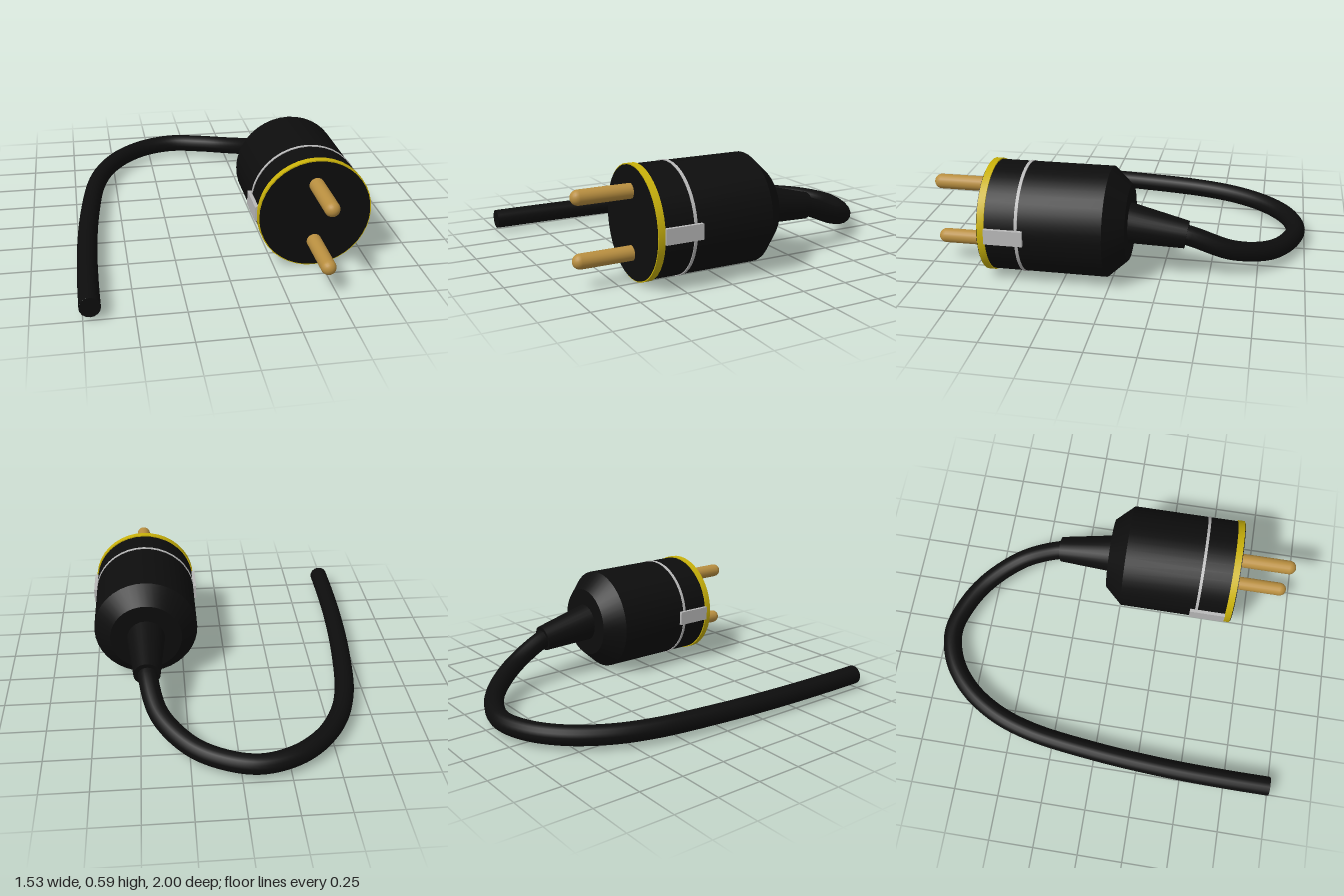
import * as THREE from 'three';
import { toCreasedNormals } from 'three/addons/utils/BufferGeometryUtils.js';

const mat = (name, color) => new THREE.MeshStandardMaterial({ name, color });

export function createModel() {
  const black = mat('blackRubber', 0x0d0d0d);
  const yellow = mat('yellowTrim', 0xc9b10a);
  const brass = mat('brass', 0xb98f40);
  const silver = mat('silverMetal', 0xb9b9b9);

  const model = new THREE.Group();
  model.name = 'powerPlugWithCable';
  const plug = new THREE.Group();
  plug.name = 'plug';
  plug.position.set(0.455, 0.298, 0);
  model.add(plug);

  const add = (parent, name, geometry, material) => {
    const mesh = new THREE.Mesh(geometry, material);
    mesh.name = name;
    parent.add(mesh);
    return mesh;
  };
  // Turned part along z; profile is [radius, z] from back to front
  const turned = (profile, segments = 40) => {
    const g = new THREE.LatheGeometry(profile.map(([r, z]) => new THREE.Vector2(r, z)), segments);
    return toCreasedNormals(g.rotateX(Math.PI / 2), 0.5);
  };

  // Housing with chamfered back
  add(plug, 'housing', turned([[0, -0.085], [0.2, -0.085], [0.291, 0.015], [0.291, 0.62], [0, 0.62]]), black);

  // Yellow rim and black contact face
  add(plug, 'rim', turned([[0.28, 0.615], [0.297, 0.615], [0.297, 0.652], [0.28, 0.652]]), yellow);
  add(plug, 'contactFace', turned([[0, 0.615], [0.291, 0.615], [0.291, 0.656], [0, 0.656]]), black);

  // Thin silver band round the housing
  add(plug, 'band', turned([[0.285, 0.443], [0.295, 0.443], [0.295, 0.459], [0.285, 0.459]]), silver);

  for (const side of [-1, 1]) {
    // Grounding clips on both sides
    add(plug, side > 0 ? 'leftClip' : 'rightClip', new THREE.BoxGeometry(0.025, 0.08, 0.2), silver)
      .position.set(side * 0.294, 0.002, 0.516);
    // Round-ended contact pins
    const pin = new THREE.CapsuleGeometry(0.039, 0.292, 6, 20).rotateX(Math.PI / 2);
    add(plug, side > 0 ? 'upperPin' : 'lowerPin', pin, brass)
      .position.set(0, 0.005 + side * 0.159, 0.784);
  }

  // Tapered strain relief, tilted down toward the cable
  const relief = add(plug, 'strainRelief',
    turned([[0, -0.345], [0.073, -0.345], [0.113, 0.02], [0, 0.02]], 24), black);
  relief.position.set(0, 0.004, -0.04);
  relief.rotation.x = -0.145;

  // Cable lying on the floor in a wide bend
  const cable = new THREE.Group();
  cable.name = 'cable';
  model.add(cable);
  const path = new THREE.CatmullRomCurve3([
    [0.455, 0.265, -0.3], [0.45, 0.243, -0.4], [0.398, 0.155, -0.61], [0.25, 0.095, -0.80],
    [0.09, 0.076, -0.9], [-0.09, 0.072, -0.947], [-0.27, 0.072, -0.9], [-0.425, 0.072, -0.78],
    [-0.545, 0.072, -0.6], [-0.62, 0.072, -0.38], [-0.675, 0.072, 0],
    [-0.705, 0.072, 0.4], [-0.714, 0.072, 0.75], [-0.714, 0.072, 1],
  ].map((p) => new THREE.Vector3(...p)));
  add(cable, 'cord', new THREE.TubeGeometry(path, 96, 0.053, 16), black);
  add(cable, 'cordEnd', new THREE.CircleGeometry(0.053, 16), black).position.set(-0.714, 0.072, 1);

  return model;
}
